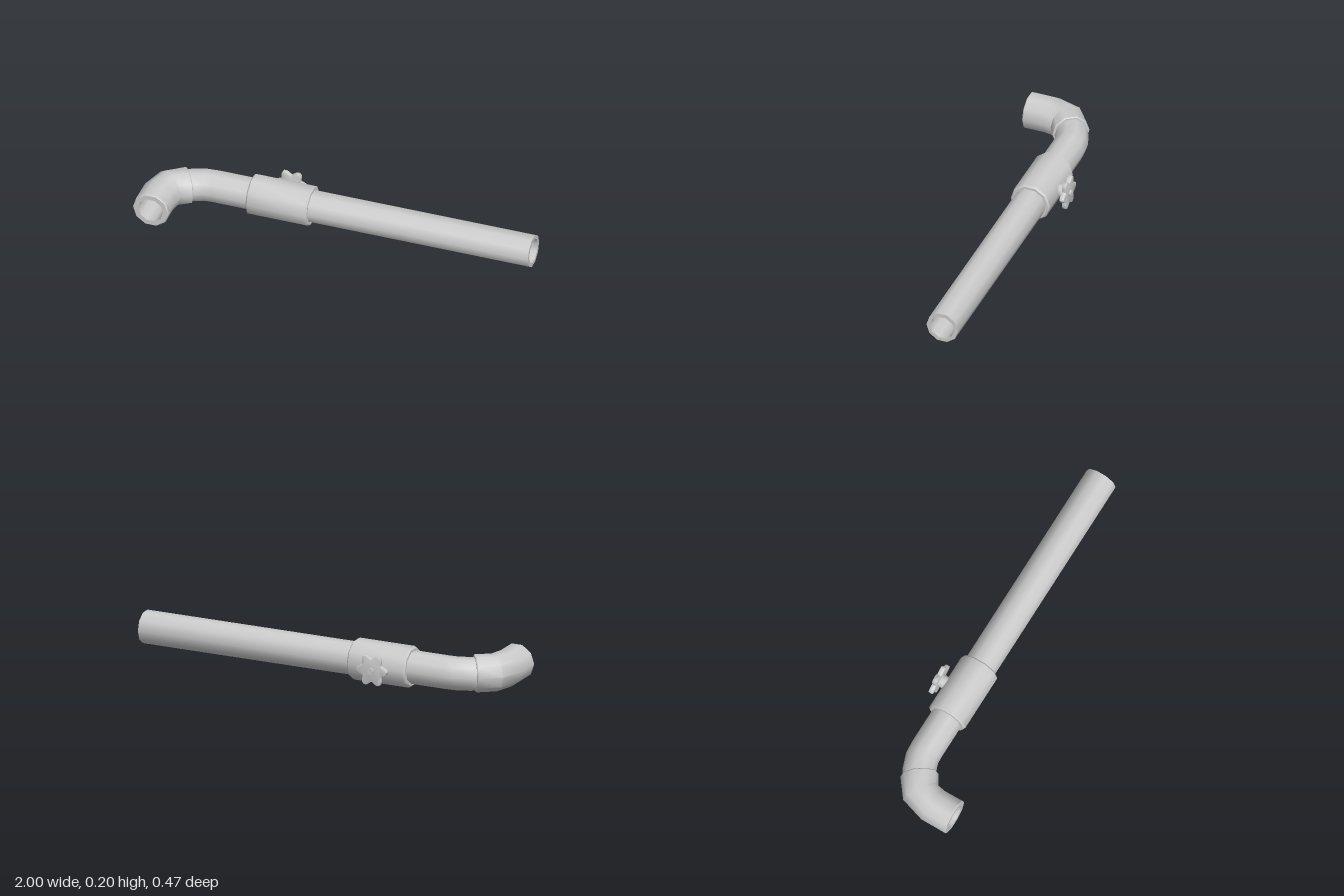
import * as THREE from 'three';
import { toCreasedNormals } from 'three/addons/utils/BufferGeometryUtils.js';

const SIDES = 10, Y = 0.1, Z = -0.071;
const material = new THREE.MeshStandardMaterial({ color: 0xcccccc });

// Hollow ten-sided pipe swept along points [x, z] at a constant height, with bevelled ends
function pipe(name, path, outer, inner, bevel = 0, y = Y) {
  const pts = path.map(([x, z]) => new THREE.Vector3(x, y, z));
  const n = pts.length;
  const dirs = pts.slice(1).map((p, i) => p.clone().sub(pts[i]).normalize());
  const tangents = pts.map((_, i) =>
    dirs[Math.max(i - 1, 0)].clone().add(dirs[Math.min(i, n - 2)]).normalize());

  const ring = (i, radius, shift = 0) => {
    const t = tangents[i];
    const c = pts[i].clone().addScaledVector(t, shift);
    return Array.from({ length: SIDES }, (_, k) => {
      const a = (k / SIDES) * Math.PI * 2;
      const s = Math.cos(a) * radius;
      return new THREE.Vector3(c.x + t.z * s, c.y + Math.sin(a) * radius, c.z - t.x * s);
    });
  };

  // Closed loop of rings: along the outside, back through the bore
  const rings = [];
  if (bevel) rings.push(ring(0, outer - bevel));
  for (let i = 0; i < n; i++) {
    rings.push(ring(i, outer, i === 0 ? bevel : i === n - 1 ? -bevel : 0));
  }
  if (bevel) rings.push(ring(n - 1, outer - bevel));
  for (let i = n - 1; i >= 0; i--) rings.push(ring(i, inner));

  const verts = [];
  rings.forEach((r0, i) => {
    const r1 = rings[(i + 1) % rings.length];
    for (let k = 0; k < SIDES; k++) {
      const k1 = (k + 1) % SIDES;
      verts.push(r0[k], r0[k1], r1[k1], r0[k], r1[k1], r1[k]);
    }
  });
  const geometry = new THREE.BufferGeometry().setFromPoints(verts);
  const mesh = new THREE.Mesh(toCreasedNormals(geometry, 0.7), material);
  mesh.name = name;
  return mesh;
}

// Cylinder running from z0 back to z1 on the valve axis
function pin(name, radius, z0, z1) {
  const geometry = new THREE.CylinderGeometry(radius, radius, z0 - z1, 12).rotateX(Math.PI / 2);
  const mesh = new THREE.Mesh(geometry, material);
  mesh.position.z = (z0 + z1) / 2;
  mesh.name = name;
  return mesh;
}

export function createModel() {
  const model = new THREE.Group();
  model.name = 'pipeWithValve';

  // Long pipe with a gentle bend where it enters the elbow
  model.add(pipe('longPipe',
    [[-0.82, -0.021], [-0.78, -0.046], [-0.72, -0.067], [-0.67, Z], [1, Z]], 0.084, 0.064));

  // Wider elbow opening toward the front
  model.add(pipe('elbow',
    [[-0.905, 0.234], [-0.905, 0.11], [-0.88, 0.022], [-0.8, -0.034]], 0.095, 0.065, 0.005, 0.102));

  // Valve collar around the pipe
  model.add(pipe('valveCollar', [[-0.48, Z], [-0.16, Z]], 0.105, 0.074, 0.008));

  // Valve handle on the back of the collar
  const valve = new THREE.Group();
  valve.name = 'valveHandle';
  valve.position.set(-0.32, Y, 0);
  valve.add(pin('valveStem', 0.034, -0.15, -0.2));
  valve.add(pin('handleScrew', 0.016, -0.21, -0.233));

  // Six-lobed hand wheel
  const outline = Array.from({ length: 48 }, (_, i) => {
    const a = (i / 48) * Math.PI * 2;
    const r = 0.067 + 0.014 * Math.cos(6 * a);
    return new THREE.Vector2(Math.cos(a) * r, Math.sin(a) * r);
  });
  const wheel = new THREE.Mesh(toCreasedNormals(new THREE.ExtrudeGeometry(new THREE.Shape(outline), {
    depth: 0.016, bevelThickness: 0.004, bevelSize: 0.004, bevelSegments: 2,
  }), 0.7), material);
  wheel.name = 'handWheel';
  wheel.position.z = -0.218;
  valve.add(wheel);
  model.add(valve);

  return model;
}
